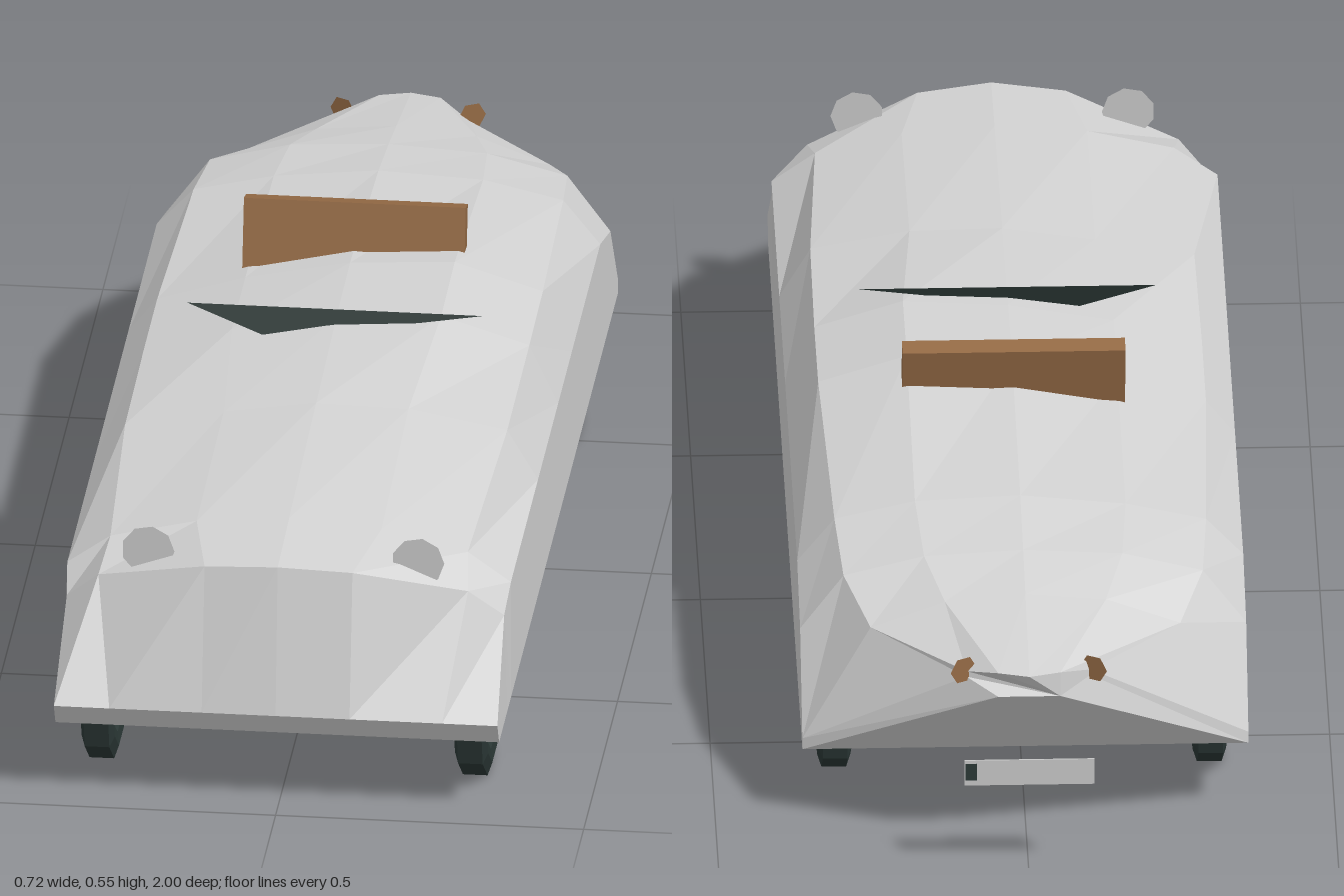
import * as THREE from 'three';

const mat = (name, color, side = THREE.FrontSide) => {
  const m = new THREE.MeshStandardMaterial({ color, side, flatShading: true });
  m.name = name;
  return m;
};

// Each row: z, bottom x y, shoulder x y, upper x y, mid x y, centre y, sweep in z, dip on the -x side
const STATIONS = [
  [1.0, 0.36, 0.14, 0.36, 0.18, 0.27, 0.18, 0.12, 0.18, 0.18, 0, 0],
  [0.97, 0.36, 0.14, 0.355, 0.31, 0.3, 0.365, 0.12, 0.42, 0.43, 0.12, 0],
  [0.8, 0.36, 0.14, 0.36, 0.345, 0.29, 0.395, 0.15, 0.428, 0.44, 0, 0],
  [0.4, 0.36, 0.14, 0.36, 0.345, 0.31, 0.43, 0.15, 0.46, 0.463, 0, 0.02],
  [0.1, 0.36, 0.14, 0.36, 0.345, 0.313, 0.445, 0.17, 0.49, 0.48, 0, 0.04],
  [-0.1, 0.36, 0.14, 0.36, 0.345, 0.313, 0.45, 0.17, 0.495, 0.485, 0, 0.045],
  [-0.52, 0.36, 0.14, 0.36, 0.345, 0.3, 0.42, 0.17, 0.45, 0.458, 0, 0.01],
  [-0.67, 0.36, 0.14, 0.36, 0.3, 0.29, 0.395, 0.16, 0.428, 0.437, 0, 0],
  [-0.785, 0.36, 0.14, 0.36, 0.16, 0.25, 0.36, 0.13, 0.405, 0.417, 0, 0],
  [-1.0, 0.05, 0.335, 0.1, 0.35, 0.1, 0.36, 0.05, 0.378, 0.378, -0.75, 0],
];

// Closed hull lofted through the stations
function hullGeometry() {
  const pos = [], index = [], n = 9;
  for (const [z, bx, by, sx, sy, ux, uy, mx, my, cy, sweep, dip] of STATIONS) {
    const ring = [
      [-bx, by], [-sx, sy], [-ux, uy - dip], [-mx, my - dip], [0, cy],
      [mx, my], [ux, uy], [sx, sy], [bx, by],
    ];
    ring.forEach(([x, y], j) => {
      const lip = z === 1 && (j === 0 || j === n - 1) ? 0.025 : 0;
      pos.push(x, y, z - lip - sweep * (x / 0.36) ** 2);
    });
  }
  const last = STATIONS.length - 1;
  for (let i = 0; i < last; i++) {
    for (let j = 0; j < n; j++) {
      const a = i * n + j, b = i * n + ((j + 1) % n);
      index.push(a, b, b + n, a, b + n, a + n);
    }
  }
  for (let j = 1; j < n - 1; j++) {
    index.push(0, j + 1, j);
    index.push(last * n, last * n + j, last * n + j + 1);
  }
  const g = new THREE.BufferGeometry();
  g.setAttribute('position', new THREE.Float32BufferAttribute(pos, 3));
  g.setIndex(index);
  const flat = g.toNonIndexed();
  flat.computeVertexNormals();
  return flat;
}

export function createModel() {
  const model = new THREE.Group();
  model.name = 'roadster';
  const paint = mat('silver paint', 0xd3d3d3);
  const lens = mat('lens grey', 0xc6c6c6, THREE.DoubleSide);
  const leather = mat('brown', 0x946a45, THREE.DoubleSide);
  const rubber = mat('dark rubber', 0x2b3836, THREE.DoubleSide);

  const add = (name, geometry, material, x = 0, y = 0, z = 0, parent = model) => {
    const mesh = new THREE.Mesh(geometry, material);
    mesh.name = name;
    mesh.position.set(x, y, z);
    parent.add(mesh);
    return mesh;
  };

  add('body', hullGeometry(), paint);

  // Seat back leaning rearward
  const seat = add('seatBack', new THREE.BoxGeometry(0.36, 0.13, 0.032), leather, 0, 0.492, -0.172);
  seat.rotation.x = -0.22;

  // Triangular windscreen
  const screen = new THREE.BufferGeometry();
  screen.setAttribute('position', new THREE.Float32BufferAttribute(
    [-0.24, 0.502, 0.12, -0.1, 0.452, 0.137, 0.24, 0.502, 0.12], 3));
  screen.computeVertexNormals();
  add('windscreen', screen, rubber);

  // Lamps
  for (const s of [-1, 1]) {
    add('headlight', new THREE.CircleGeometry(0.043, 9), lens, s * 0.219, 0.414, 0.892);
    const tail = add('tailLight', new THREE.CircleGeometry(0.024, 6), leather, s * 0.105, 0.365, -0.948);
    tail.rotation.y = s * 0.5;
  }

  // Rear plate with a dark mark at one end
  add('rearPlate', new THREE.BoxGeometry(0.21, 0.045, 0.003), lens, 0, 0.2, -0.99);
  add('plateMark', new THREE.BoxGeometry(0.018, 0.03, 0.005), rubber, 0.094, 0.202, -0.99);

  // Wheels: faceted tyre ring, narrower at the tread, around a hub with spokes
  const tyreProfile = [
    [0.1, -0.024], [0.122, -0.027], [0.143, -0.02], [0.143, 0.02],
    [0.122, 0.027], [0.1, 0.024], [0.1, -0.024],
  ].map(([r, h]) => new THREE.Vector2(r, h));
  const tyre = new THREE.LatheGeometry(tyreProfile, 10).rotateZ(Math.PI / 2);
  const hub = new THREE.CylinderGeometry(0.078, 0.078, 0.046, 8).rotateZ(Math.PI / 2);
  for (const s of [-1, 1]) {
    for (const z of [0.764, -0.543]) {
      const wheel = new THREE.Group();
      wheel.name = z > 0 ? 'frontWheel' : 'rearWheel';
      wheel.position.set(s * 0.303, 0.14, z);
      model.add(wheel);
      add('tyre', tyre, rubber, 0, 0, 0, wheel);
      add('hub', hub, rubber, 0, 0, 0, wheel);
      for (let k = 0; k < 5; k++) {
        const spoke = add('spoke', new THREE.BoxGeometry(0.03, 0.22, 0.02), rubber, 0, 0, 0, wheel);
        spoke.rotation.x = (k * Math.PI) / 5;
      }
    }
  }
  return model;
}
